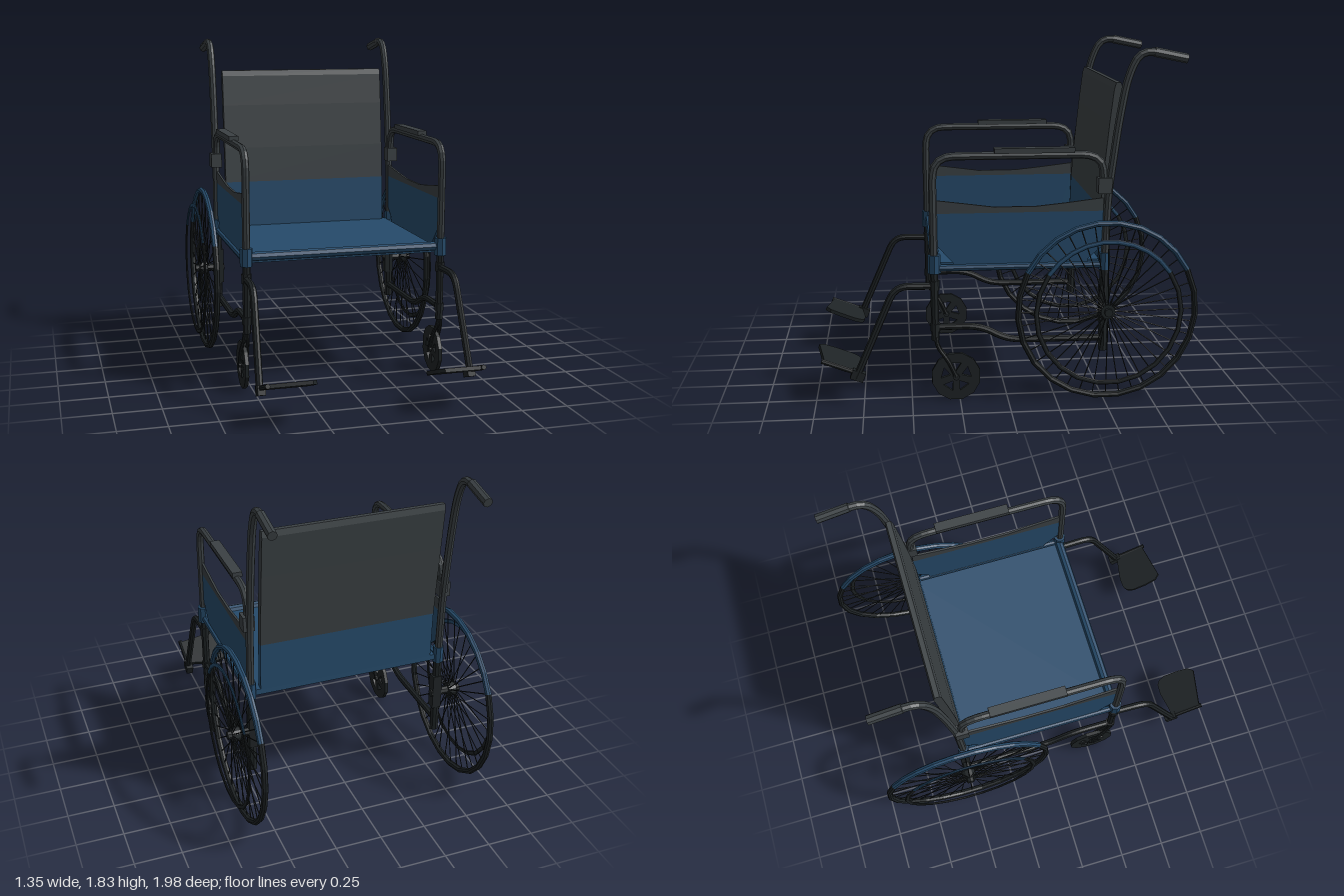
import * as THREE from 'three';

const mat = (color) => new THREE.MeshStandardMaterial({ color, flatShading: true });
const GREY = mat(0x3b4144), BLUE = mat(0x264b6b), DARK = mat(0x1e2325);
const V = (x, y, z) => new THREE.Vector3(x, y, z);

function add(parent, name, geometry, material, x = 0, y = 0, z = 0) {
  const m = new THREE.Mesh(geometry, material);
  m.name = name;
  m.position.set(x, y, z);
  parent.add(m);
  return m;
}

const box = (p, name, m, w, h, d, x, y, z) => add(p, name, new THREE.BoxGeometry(w, h, d), m, x, y, z);

// Straight round bar between two points
function bar(p, name, m, a, b, r, sides = 8) {
  const dir = b.clone().sub(a), mid = a.clone().add(b).multiplyScalar(0.5);
  const mesh = add(p, name, new THREE.CylinderGeometry(r, r, dir.length(), sides), m, mid.x, mid.y, mid.z);
  mesh.quaternion.setFromUnitVectors(V(0, 1, 0), dir.normalize());
  return mesh;
}

// Bent pipe: straight runs with rounded corners, closed at both ends
function pipe(p, name, m, pts, r, bend = 0.09) {
  const line = [pts[0]];
  for (let i = 1; i < pts.length - 1; i++) {
    const c = pts[i];
    const toward = (q) => {
      const d = q.clone().sub(c);
      return c.clone().addScaledVector(d.clone().normalize(), Math.min(bend, d.length() * 0.45));
    };
    line.push(...new THREE.QuadraticBezierCurve3(toward(pts[i - 1]), c, toward(pts[i + 1])).getPoints(4));
  }
  line.push(pts[pts.length - 1]);
  const path = new THREE.CurvePath();
  for (let i = 1; i < line.length; i++) path.add(new THREE.LineCurve3(line[i - 1], line[i]));
  const g = new THREE.Group();
  g.name = name;
  p.add(g);
  add(g, name + 'Tube', new THREE.TubeGeometry(path, 40, r, 8, false), m);
  for (const [a, b] of [[line[0], line[1]], [line[line.length - 1], line[line.length - 2]]])
    bar(g, name + 'End', m, a, a.clone().lerp(b, 0.05), r);
  return g;
}

// Plate drawn in (z, y) and given a thickness along x
function sidePlate(p, name, m, outline, depth, x, y = 0, z = 0, holes = []) {
  const shape = new THREE.Shape(outline.map(([a, b]) => new THREE.Vector2(a, b)));
  for (const h of holes) shape.holes.push(new THREE.Path(h.map(([a, b]) => new THREE.Vector2(a, b))));
  const g = new THREE.ExtrudeGeometry(shape, { depth, bevelEnabled: false });
  g.translate(0, 0, -depth / 2).rotateY(-Math.PI / 2);
  return add(p, name, g, m, x, y, z);
}

// Ring facing sideways, blue on the top arc and dark below
function ring(p, name, x, R, r, flat) {
  const start = Math.asin(0.21 / R), top = Math.PI - 2 * start;
  for (const [part, m, from, arc, seg] of [
    ['Top', BLUE, start, top, 9], ['Bottom', DARK, start + top, 2 * Math.PI - top, 15]]) {
    const g = new THREE.TorusGeometry(R, r, 8, seg, arc).rotateZ(from).rotateY(Math.PI / 2);
    add(p, name + part, g.scale(flat, 1, 1), m, x, 0, 0);
  }
}

function driveWheel(p, s) {
  const w = new THREE.Group();
  w.name = 'driveWheel';
  w.position.set(0, 0.49, -0.51);
  p.add(w);
  ring(w, 'tyre', s * 0.618, 0.464, 0.016, 1.1);
  ring(w, 'handRim', s * 0.67, 0.376, 0.013, 0.5);
  bar(w, 'axle', DARK, V(s * 0.5, 0, 0), V(s * 0.67, 0, 0), 0.022);
  bar(w, 'hub', DARK, V(s * 0.6, 0, 0), V(s * 0.648, 0, 0), 0.038, 12);
  // Spokes lean alternately from the two ends of the hub
  for (let i = 0; i < 40; i++) {
    const a = (i / 40) * Math.PI * 2, c = Math.cos(a), n = Math.sin(a);
    const x = s * (i % 2 ? 0.602 : 0.645);
    bar(w, 'spoke', DARK, V(x, n * 0.03, c * 0.03), V(s * 0.618, n * 0.455, c * 0.455), 0.003, 4);
  }
}

function caster(p, s) {
  const c = new THREE.Group();
  c.name = 'caster';
  p.add(c);
  const at = (r, a) => [r * Math.cos(a), r * Math.sin(a)];
  const rim = [], holes = [];
  for (let i = 0; i < 12; i++) rim.push(at(0.13, (i + 0.5) / 12 * Math.PI * 2));
  for (let i = 0; i < 5; i++) {
    const a = (i / 5) * Math.PI * 2 + 0.3;
    holes.push([at(0.03, a), at(0.08, a - 0.38), at(0.08, a + 0.38)]);
  }
  sidePlate(c, 'casterWheel', DARK, rim, 0.02, s * 0.54, 0.13, 0.27, holes);
  bar(c, 'casterAxle', DARK, V(s * 0.517, 0.13, 0.27), V(s * 0.563, 0.13, 0.27), 0.018);
  for (const o of [-0.017, 0.017])
    pipe(c, 'fork', DARK, [V(s * 0.54, 0.4, 0.375), V(s * 0.54 + o * 0.5, 0.3, 0.37),
      V(s * 0.54 + o, 0.22, 0.31), V(s * 0.54 + o, 0.13, 0.27)], 0.011, 0.04);
}

function footrest(p, s) {
  const f = new THREE.Group();
  f.name = 'footrest';
  p.add(f);
  pipe(f, 'legTube', DARK, [V(s * 0.535, 0.62, 0.37), V(s * 0.54, 0.625, 0.58), V(s * 0.555, 0.14, 0.79)], 0.019, 0.07);
  const clamp = box(f, 'footClamp', DARK, 0.04, 0.05, 0.07, s * 0.55, 0.155, 0.78);
  clamp.rotation.x = -0.37;
  bar(f, 'plateHinge', DARK, V(s * 0.552, 0.165, 0.775), V(s * 0.552, 0.238, 0.965), 0.013);
  // Footplate outline in x and z, tilted up toward the front
  const outline = [[0.55, 0.79], [0.55, 0.955], [0.335, 0.992], [0.31, 0.965], [0.302, 0.9],
    [0.302, 0.82], [0.315, 0.785], [0.34, 0.768], [0.4, 0.765]];
  const shape = new THREE.Shape(outline.map(([x, z]) => new THREE.Vector2(s * x, -(z - 0.88) * 1.06)));
  const g = new THREE.ExtrudeGeometry(shape, { depth: 0.02, bevelEnabled: false });
  g.translate(0, 0, -0.01).rotateX(-Math.PI / 2 - 0.37);
  add(f, 'footplate', g, DARK, 0, 0.205, 0.88);
}

function sideFrame(p, s) {
  const f = new THREE.Group(), x = s * 0.535;
  f.name = s > 0 ? 'leftSide' : 'rightSide';
  p.add(f);
  // Posts and pipes
  pipe(f, 'armFrame', GREY, [V(x, 0.74, 0.38), V(x, 1.295, 0.385), V(x, 1.295, -0.49), V(x, 1.1, -0.495)], 0.021, 0.11);
  bar(f, 'frontPost', DARK, V(x, 0.33, 0.375), V(x, 0.74, 0.38), 0.021);
  bar(f, 'rearPostLower', DARK, V(x, 0.25, -0.505), V(x, 0.72, -0.505), 0.024);
  pipe(f, 'pushPost', GREY, [V(x, 0.72, -0.505), V(x, 1.1, -0.52), V(x, 1.45, -0.565),
    V(x, 1.68, -0.605), V(x, 1.825, -0.67), V(x, 1.775, -0.9)], 0.021, 0.08);
  bar(f, 'handGrip', GREY, V(x, 1.81, -0.74), V(x, 1.775, -0.91), 0.025);
  pipe(f, 'lowerRail', DARK, [V(x, 0.4, 0.39), V(x, 0.4, 0.14), V(x, 0.32, 0), V(x, 0.318, -0.5)], 0.018, 0.08);
  bar(f, 'seatRail', BLUE, V(x, 0.715, 0.38), V(x, 0.715, -0.5), 0.018);
  // Collars and brackets
  bar(f, 'seatCollar', BLUE, V(x, 0.69, 0.378), V(x, 0.785, 0.378), 0.034);
  bar(f, 'rearCollar', BLUE, V(x, 0.69, -0.505), V(x, 0.78, -0.505), 0.03);
  bar(f, 'legCollar', DARK, V(x, 0.6, 0.378), V(x, 0.65, 0.378), 0.027);
  bar(f, 'railCollar', DARK, V(x, 0.38, 0.375), V(x, 0.42, 0.375), 0.027);
  box(f, 'backClamp', GREY, 0.06, 0.08, 0.07, s * 0.54, 1.135, -0.497);
  box(f, 'axleBracket', DARK, 0.05, 0.2, 0.05, s * 0.53, 0.5, -0.507);
  // Arm pad
  box(f, 'armPad', GREY, 0.052, 0.026, 0.41, x, 1.321, -0.135);
  // Side panel with clipped lower corners and a grey upper edge
  sidePlate(f, 'sidePanel', BLUE, [[0.375, 1], [0.37, 0.84], [0.28, 0.74], [0.28, 0.7],
    [-0.42, 0.7], [-0.42, 0.75], [-0.49, 0.81], [-0.495, 1]], 0.012, s * 0.53);
  sidePlate(f, 'sidePanelEdge', GREY, [[0.375, 1], [-0.495, 1], [-0.495, 1.068], [-0.3, 1.045],
    [-0.15, 1.03], [0.07, 1.03], [0.22, 1.05], [0.375, 1.07]], 0.012, s * 0.53);
  driveWheel(f, s);
  caster(f, s);
  footrest(f, s);
}

export function createModel() {
  const model = new THREE.Group();
  model.name = 'wheelchair';
  for (const s of [1, -1]) sideFrame(model, s);
  // Seat with a rolled front edge
  box(model, 'seat', BLUE, 1.02, 0.032, 0.89, 0, 0.722, -0.07);
  bar(model, 'seatFrontRoll', BLUE, V(-0.52, 0.738, 0.37), V(0.52, 0.738, 0.37), 0.025);
  // Backrest: blue base, grey upper part, leaning with the posts
  sidePlate(model, 'backrestLower', BLUE, [[-0.48, 0.735], [-0.49, 1], [-0.525, 1], [-0.515, 0.735]], 0.965, 0);
  sidePlate(model, 'backrestUpper', GREY, [[-0.49, 1], [-0.505, 1.2], [-0.53, 1.45], [-0.55, 1.62],
    [-0.56, 1.652], [-0.585, 1.652], [-0.592, 1.62], [-0.567, 1.4], [-0.54, 1.15], [-0.525, 1]], 0.965, 0);
  return model;
}
